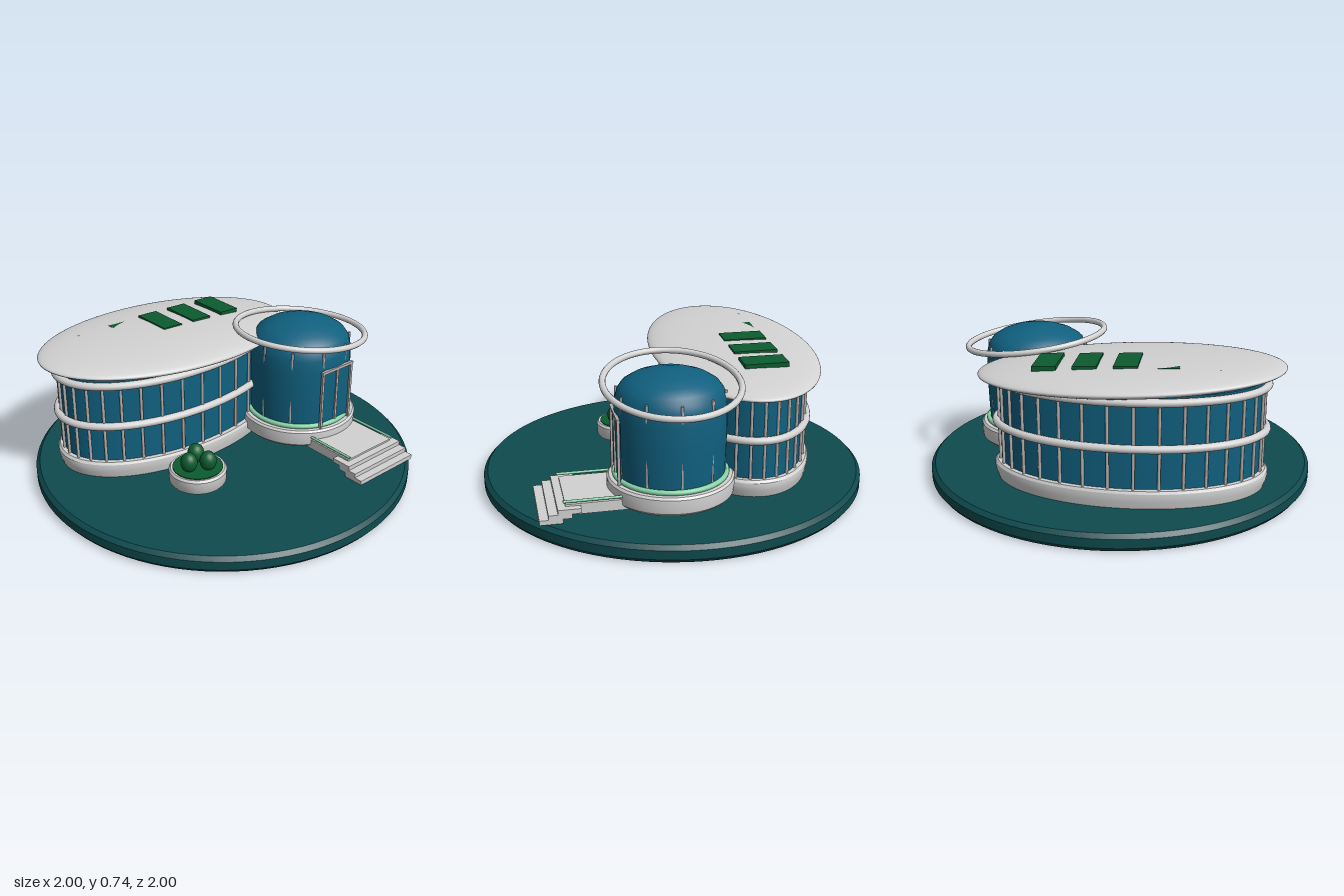
import * as THREE from 'three';
import { toCreasedNormals } from 'three/addons/utils/BufferGeometryUtils.js';

const mat = (name, color) => {
  const m = new THREE.MeshStandardMaterial({ color });
  m.name = name;
  return m;
};

export function createModel() {
  const model = new THREE.Group();
  model.name = 'pavilion';

  const teal = mat('ground teal', 0x0e4a4e);
  const glass = mat('blue glass', 0x10607f);
  const white = mat('pale concrete', 0xd2d2d2);
  const metal = mat('grey metal', 0xb4b0ae);
  const green = mat('leaf green', 0x0c5c30);
  const mint = mat('mint trim', 0x86d4a8);

  const add = (name, geometry, material, x = 0, y = 0, z = 0, parent = model) => {
    const mesh = new THREE.Mesh(geometry, material);
    mesh.name = name;
    mesh.position.set(x, y, z);
    parent.add(mesh);
    return mesh;
  };
  const lathe = (profile, segments = 64) => toCreasedNormals(
    new THREE.LatheGeometry(profile.map(([r, y]) => new THREE.Vector2(r, y)), segments), 0.6);
  const group = (name, x = 0, y = 0, z = 0) => {
    const g = new THREE.Group();
    g.name = name;
    g.position.set(x, y, z);
    model.add(g);
    return g;
  };
  // round tube bent along a flat ellipse
  const ellipseTube = (a, b, r) => {
    const pts = Array.from({ length: 48 }, (_, i) => {
      const t = i / 48 * Math.PI * 2;
      return new THREE.Vector3(a * Math.cos(t), 0, b * Math.sin(t));
    });
    return new THREE.TubeGeometry(new THREE.CatmullRomCurve3(pts, true), 128, r, 12, true);
  };
  // upright rods spread around an ellipse
  const rods = (name, parent, count, a, b, r, y0, y1, phase) => {
    const geo = new THREE.CylinderGeometry(r, r, y1 - y0, 8);
    for (let i = 0; i < count; i++) {
      const t = (i + phase) / count * Math.PI * 2;
      add(name, geo, metal, a * Math.sin(t), (y0 + y1) / 2, b * Math.cos(t), parent);
    }
  };

  // round ground disc with chamfered rims
  add('ground', lathe([[0, 0], [0.985, 0], [1, 0.02], [1, 0.065], [0.98, 0.085], [0, 0.085]], 96), teal);

  // oval hall
  const hall = group('hall', -0.095, 0, -0.34);
  add('hallPlinth', lathe([[0, 0.085], [0.975, 0.085], [0.993, 0.12], [1, 0.145], [0.997, 0.162],
    [0.98, 0.175], [0, 0.175]], 96), white, 0, 0, 0, hall).scale.set(0.685, 1, 0.39);
  add('hallGlass', new THREE.CylinderGeometry(1, 1, 0.46, 96), glass, 0, 0.4, 0, hall).scale.set(0.65, 1, 0.358);
  rods('hallMullion', hall, 34, 0.656, 0.364, 0.008, 0.17, 0.605, 0.5);
  for (const y of [0.38, 0.605]) add('floorBand', ellipseTube(0.67, 0.372, 0.02), white, 0, y, 0, hall);

  // lens-shaped tilted roof
  const tilt = -0.05;
  const roof = add('roof', new THREE.SphereGeometry(1, 96, 40), white, 0, 0.65, 0, hall);
  roof.scale.set(0.755, 0.06, 0.43);
  roof.rotation.z = tilt;
  // row of skylights, the outer ones sinking into the roof
  [0.7117, 0.713, 0.716, 0.708, 0.7].forEach((top, i) => {
    const s = add('skylight', new THREE.BoxGeometry(0.117, 0.024, 0.228), green,
      -0.39 + i * 0.195, top - 0.012, -0.065, hall);
    s.rotation.z = tilt;
  });

  // domed entrance rotunda
  const rotunda = group('rotunda', 0.463, 0, 0.107);
  add('rotundaPlinth', lathe([[0, 0.12], [0.295, 0.12], [0.31, 0.135], [0.314, 0.17], [0.312, 0.205],
    [0.302, 0.216], [0, 0.216]]), white, 0, 0, 0, rotunda);
  add('rotundaGlass', lathe([[0.264, 0.2], [0.269, 0.33], [0.272, 0.45], [0.271, 0.54], [0.267, 0.6],
    [0.257, 0.64], [0.235, 0.672], [0.19, 0.701], [0.13, 0.723], [0.065, 0.737], [0, 0.742]]),
    glass, 0, 0, 0, rotunda);
  rods('rotundaMullion', rotunda, 10, 0.263, 0.263, 0.007, 0.21, 0.645, 0.5);
  add('mintRing', ellipseTube(0.274, 0.274, 0.013), mint, 0, 0.227, 0, rotunda);
  const halo = add('haloRing', ellipseTube(0.367, 0.328, 0.016), white, 0.002, 0.673, -0.007, rotunda);
  halo.rotation.z = -0.135;

  // entrance door frame
  const door = group('door', 0.467, 0, 0.378);
  for (const x of [-0.105, 0, 0.105]) {
    add('doorPost', new THREE.BoxGeometry(0.014, 0.33, 0.014), metal, x, 0.378, 0, door);
  }
  add('doorLintel', new THREE.BoxGeometry(0.228, 0.016, 0.016), metal, 0, 0.54, 0, door);
  add('doorPanel', new THREE.BoxGeometry(0.2, 0.32, 0.008), glass, 0, 0.375, -0.008, door);

  // entrance walkway, steps and side rails
  const entry = group('entry', 0.463, 0, 0);
  add('walkway', new THREE.BoxGeometry(0.325, 0.04, 0.36), white, 0, 0.146, 0.46, entry);
  add('walkwaySupport', new THREE.BoxGeometry(0.325, 0.014, 0.58), white, 0, 0.119, 0.36, entry);
  [[0.395, 0.1, 0.765], [0.395, 0.122, 0.722], [0.395, 0.145, 0.678]].forEach(([w, y, front]) => {
    add('step', new THREE.BoxGeometry(w, 0.023, 0.11), white, 0, y, front - 0.055, entry);
  });
  const rail = new THREE.CylinderGeometry(0.007, 0.007, 0.28, 10).rotateX(Math.PI / 2);
  for (const side of [-1, 1]) add('walkwayRail', rail, mint, side * 0.16, 0.18, 0.51, entry);

  // round planter with three bushes
  const planter = group('planter', -0.345, 0, 0.21);
  add('planterPot', lathe([[0, 0.11], [0.138, 0.11], [0.145, 0.12], [0.147, 0.178], [0.138, 0.19],
    [0.126, 0.188], [0.122, 0.17], [0, 0.17]]), white, 0, 0, 0, planter);
  add('planterSoil', new THREE.CylinderGeometry(0.127, 0.127, 0.02, 48), green, 0, 0.183, 0, planter);
  const bush = new THREE.SphereGeometry(0.043, 24, 16).scale(1, 1.2, 1);
  for (let i = 0; i < 3; i++) {
    const t = Math.PI + i / 3 * Math.PI * 2;
    add('bush', bush, green, 0.056 * Math.cos(t), 0.233, 0.056 * Math.sin(t), planter);
  }

  return model;
}
